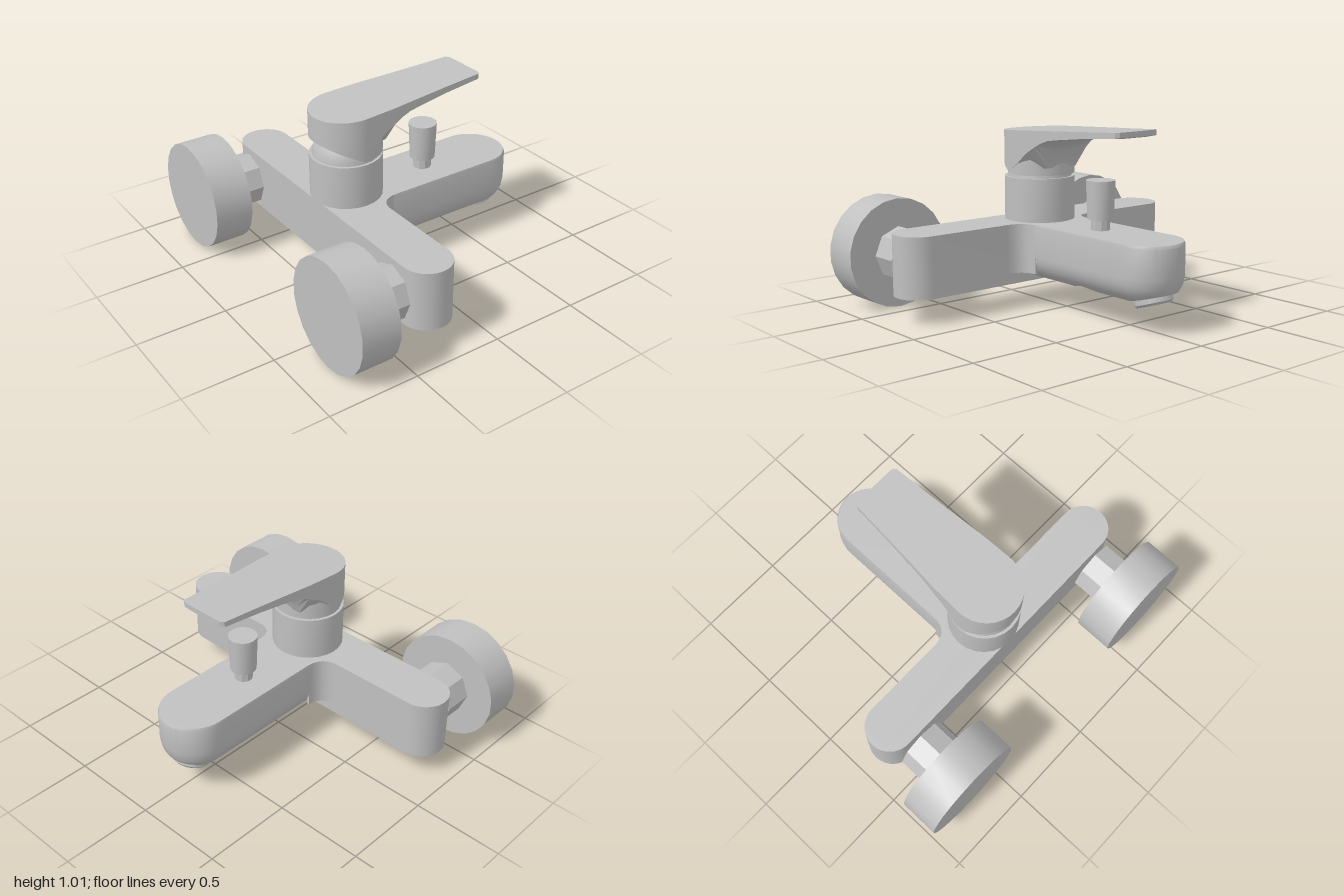
import * as THREE from 'three';
import { toCreasedNormals } from 'three/addons/utils/BufferGeometryUtils.js';

const metal = new THREE.MeshStandardMaterial({ color: 0xc0c0c0, side: THREE.DoubleSide });
metal.name = 'satin metal';

function add(parent, name, geometry, x = 0, y = 0, z = 0) {
  const mesh = new THREE.Mesh(toCreasedNormals(geometry, 0.5), metal);
  mesh.name = name;
  mesh.position.set(x, y, z);
  parent.add(mesh);
  return mesh;
}

// Skin a list of closed rings of [x, y, z] points and cap both ends.
function loft(rings) {
  const n = rings[0].length, pos = rings.flat(2), index = [];
  for (let i = 0; i < rings.length - 1; i++) {
    for (let j = 0; j < n; j++) {
      const a = i * n + j, b = i * n + (j + 1) % n;
      index.push(a, b, b + n, a, b + n, a + n);
    }
  }
  for (const end of [0, rings.length - 1]) {
    const centre = pos.length / 3;
    for (let k = 0; k < 3; k++) pos.push(rings[end].reduce((s, p) => s + p[k], 0) / n);
    for (let j = 0; j < n; j++) {
      const a = end * n + j, b = end * n + (j + 1) % n;
      if (end === 0) index.push(centre, b, a);
      else index.push(centre, a, b);
    }
  }
  const g = new THREE.BufferGeometry();
  g.setAttribute('position', new THREE.Float32BufferAttribute(pos, 3));
  g.setIndex(index);
  return g;
}

// Extrude a plan drawn as (x, -z) upward from y0 to y1.
function plate(shape, y0, y1) {
  return new THREE.ExtrudeGeometry(shape, { depth: y1 - y0, bevelEnabled: false, curveSegments: 10 })
    .rotateX(-Math.PI / 2).translate(0, y0, 0);
}

// Spout with rolled lower edges, rising nose and a round socket underneath.
function spoutGeometry() {
  const W = 0.185, noseZ = -0.63, backZ = 0.2, holeZ = -0.27, holeR = 0.13, R = 0.15;
  const outline = [];
  for (let i = 0; i < 14; i++) outline.push([W, backZ + (noseZ - backZ) * i / 14]);
  for (let i = 0; i <= 18; i++) {
    const a = Math.PI * i / 18;
    outline.push([W * Math.cos(a), noseZ - W * Math.sin(a)]);
  }
  for (let i = 1; i <= 14; i++) outline.push([-W, noseZ + (backZ - noseZ) * i / 14]);
  for (let i = 1; i < 6; i++) outline.push([-W + 2 * W * i / 6, backZ]);

  const underside = (x, z) => {
    const d = W - (z < noseZ ? Math.hypot(x, z - noseZ) : Math.abs(x));
    const k = Math.max(0, R - d);
    const rolled = 0.15 + R - Math.sqrt(Math.max(0, R * R - k * k));
    return Math.max(rolled, 0.15 + (-0.55 - z) * 0.27);
  };
  const rim = outline.map(([x, z]) => {
    const l = Math.hypot(x, z - holeZ);
    return [x / l * holeR, holeZ + (z - holeZ) / l * holeR];
  });
  const rings = [rim.map(([x, z]) => [x, 0.34, z])];
  const steps = 12;
  for (let s = 0; s <= steps; s++) {
    const t = 1 - Math.pow(1 - s / steps, 1.5);
    rings.push(outline.map(([x, z], j) => {
      const px = rim[j][0] + (x - rim[j][0]) * t, pz = rim[j][1] + (z - rim[j][1]) * t;
      return [px, underside(px, pz), pz];
    }));
  }
  rings.push(outline.map(([x, z]) => [x, 0.455, z]));
  rings.push(outline.map(([x, z]) => [x * 0.985, 0.47, z * 0.99]));
  return loft(rings);
}

const handleTop = z => 0.96 + (0.43 - z) * 0.0515;

export function createModel() {
  const model = new THREE.Group();
  model.name = 'bathMixerTap';

  // Crossbar with rounded ends
  const bar = new THREE.Shape();
  bar.absarc(0.775, -0.287, 0.135, -Math.PI / 2, Math.PI / 2, false);
  bar.absarc(-0.775, -0.287, 0.135, Math.PI / 2, Math.PI * 1.5, false);
  bar.closePath();
  add(model, 'crossbar', plate(bar, 0.14, 0.47));

  // Spout and the fillets joining it to the crossbar
  add(model, 'spout', spoutGeometry());
  for (const s of [-1, 1]) {
    const f = new THREE.Shape();
    f.moveTo(s * 0.17, -0.17);
    f.lineTo(s * 0.17, -0.05);
    f.lineTo(s * 0.184, -0.05);
    f.quadraticCurveTo(s * 0.19, -0.145, s * 0.285, -0.152);
    f.lineTo(s * 0.285, -0.17);
    f.closePath();
    add(model, s > 0 ? 'leftFillet' : 'rightFillet', plate(f, 0.2, 0.47));
  }

  // Aerator ring, tilted under the nose
  const ring = [[0.08, 0.06], [0.08, 0], [0.09, 0], [0.103, 0.012], [0.103, 0.06], [0.103, 0.1]]
    .map(([r, y]) => new THREE.Vector2(r, y));
  const aerator = add(model, 'aerator', new THREE.LatheGeometry(ring, 20), 0, 0.142, -0.675);
  aerator.rotation.x = 0.31;

  // Diverter knob
  add(model, 'diverterStem', new THREE.CylinderGeometry(0.05, 0.05, 0.08, 10), 0, 0.5, -0.27);
  add(model, 'diverterKnob', new THREE.CylinderGeometry(0.078, 0.07, 0.205, 16), 0, 0.632, -0.27);

  // Cartridge housing and domed neck
  add(model, 'cartridgeHousing', new THREE.CylinderGeometry(0.195, 0.195, 0.25, 24), 0, 0.585, 0.235);
  const dome = [[0.18, 0.7], [0.178, 0.73], [0.165, 0.77], [0.14, 0.82], [0.1, 0.86], [0, 0.88]]
    .map(([r, y]) => new THREE.Vector2(r, y));
  add(model, 'neck', new THREE.LatheGeometry(dome, 24), 0, 0, 0.235);

  // Handle: collar cut on a slant at the front, then the lever
  const handle = new THREE.Group();
  handle.name = 'handle';
  model.add(handle);
  const collar = new THREE.CylinderGeometry(0.195, 0.195, 1, 32).translate(0, 0, 0.235);
  const p = collar.attributes.position;
  for (let i = 0; i < p.count; i++) {
    const z = p.getZ(i);
    p.setY(i, p.getY(i) > 0 ? handleTop(z) : 0.727 + Math.max(0, z - 0.24) * 0.49);
  }
  add(handle, 'handleCollar', collar);

  // Lever stations: z, half width, side edge height, centre underside height
  const stations = [
    [-0.545, 0.125, 0.985, 0.982], [-0.53, 0.145, 0.98, 0.976], [-0.3, 0.16, 0.962, 0.957],
    [-0.12, 0.174, 0.942, 0.937], [-0.05, 0.18, 0.932, 0.92], [0, 0.184, 0.915, 0.88],
    [0.03, 0.187, 0.9, 0.82], [0.05, 0.188, 0.89, 0.77], [0.12, 0.191, 0.85, 0.76],
    [0.18, 0.193, 0.8, 0.755], [0.235, 0.195, 0.76, 0.75],
  ];
  add(handle, 'lever', loft(stations.map(([z, w, side, mid]) => {
    const top = handleTop(z);
    return [[w, side, z], [w, top, z], [-w, top, z], [-w, side, z],
      [-w * 0.55, mid, z], [w * 0.55, mid, z]];
  })));

  // Wall connections
  for (const s of [-1, 1]) {
    const wall = new THREE.Group();
    wall.name = s > 0 ? 'leftWallConnection' : 'rightWallConnection';
    wall.position.set(s * 0.7, 0.303, 0);
    model.add(wall);
    add(wall, 'wallFlange', new THREE.CylinderGeometry(0.302, 0.302, 0.217, 22).rotateX(Math.PI / 2), 0, 0, 0.706);
    add(wall, 'unionNut', new THREE.CylinderGeometry(0.148, 0.148, 0.175, 8).rotateX(Math.PI / 2), 0, 0, 0.523);
  }
  return model;
}
